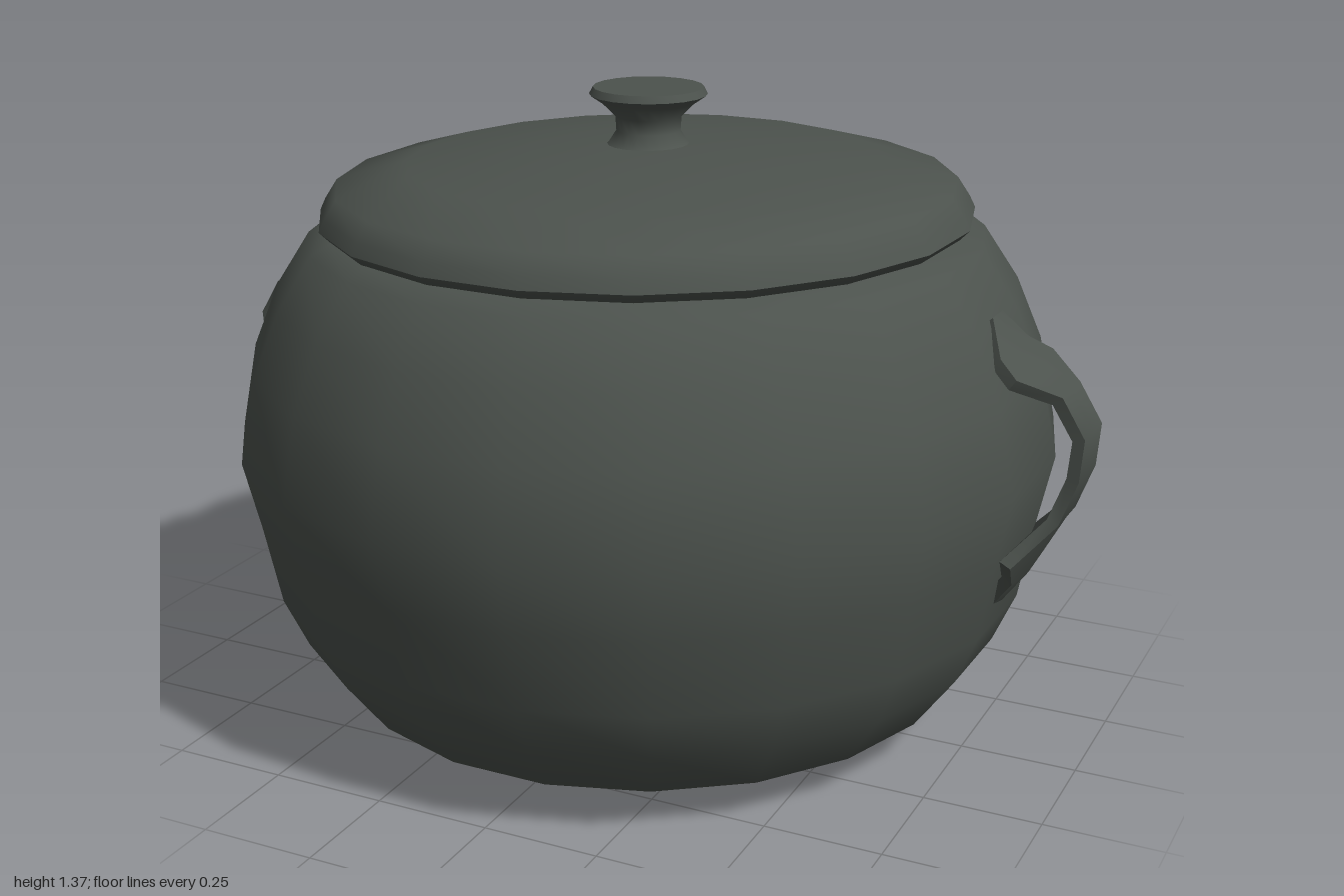
import * as THREE from 'three';
import { toCreasedNormals } from 'three/addons/utils/BufferGeometryUtils.js';

const SIDES = 20;
const START = THREE.MathUtils.degToRad(7.7);

// Turned part from [radius, height] pairs, listed from bottom to top
function turned(name, profile, material, crease = 0.85, start = START) {
  const points = profile.map(([r, y]) => new THREE.Vector2(r, y));
  const geometry = new THREE.LatheGeometry(points, SIDES, start);
  const mesh = new THREE.Mesh(toCreasedNormals(geometry, crease), material);
  mesh.name = name;
  return mesh;
}

// Strap handle lofted through sections: [x, y, half width, edge set-back]
function strapGeometry() {
  const sections = [
    [0.775, 0.975, 0.03, 0.0],
    [0.835, 0.91, 0.09, 0.02],
    [0.88, 0.88, 0.12, 0.02],
    [0.935, 0.84, 0.06, 0],
    [0.982, 0.765, 0.06, 0],
    [0.975, 0.68, 0.06, 0],
    [0.94, 0.585, 0.06, 0],
    [0.895, 0.5, 0.12, 0.03],
    [0.868, 0.45, 0.08, 0.01],
    [0.81, 0.37, 0.06, 0.01],
  ];
  const half = 0.013;
  const positions = [];
  const index = [];
  sections.forEach(([x, y, w, back], i) => {
    // The thickness runs across the path direction
    const a = sections[Math.max(i - 1, 0)];
    const b = sections[Math.min(i + 1, sections.length - 1)];
    const n = new THREE.Vector2(a[1] - b[1], b[0] - a[0]).normalize().multiplyScalar(half);
    for (const [side, z] of [[1, -1], [1, 0], [1, 1], [-1, 1], [-1, 0], [-1, -1]]) {
      positions.push(x + side * n.x - back * Math.abs(z), y + side * n.y, z * w);
    }
  });
  for (let i = 0; i < sections.length - 1; i++) {
    for (let j = 0; j < 6; j++) {
      const p = i * 6 + j;
      const q = i * 6 + ((j + 1) % 6);
      index.push(p, q, p + 6, q, q + 6, p + 6);
    }
  }
  const geometry = new THREE.BufferGeometry();
  geometry.setAttribute('position', new THREE.Float32BufferAttribute(positions, 3));
  geometry.setIndex(index);
  // Reverse the winding if the outer face points inward
  geometry.computeVertexNormals();
  if (geometry.attributes.normal.getX(4 * 6 + 1) < 0) {
    geometry.setIndex(index.map((_, k) => index[k - (k % 3) + 2 - (k % 3)]));
  }
  return toCreasedNormals(geometry, 0.7);
}

export function createModel() {
  const model = new THREE.Group();
  model.name = 'lidded pot';
  const iron = new THREE.MeshStandardMaterial({ color: 0x4c524d });
  iron.name = 'dark iron';

  // Pot and lid lean very slightly
  const vessel = new THREE.Group();
  vessel.name = 'vessel';
  vessel.rotation.z = 0.012;
  vessel.position.x = 0.008;
  model.add(vessel);

  vessel.add(turned('body', [
    [0, 0.005], [0.3, 0.012], [0.56, 0.03], [0.685, 0.09], [0.775, 0.21],
    [0.825, 0.32], [0.858, 0.49], [0.892, 0.64], [0.856, 0.82],
    [0.8, 0.955], [0.725, 1.07], [0.68, 1.095], [0.64, 1.1],
  ], iron));

  vessel.add(turned('lid', [
    [0.62, 1.09], [0.68, 1.095], [0.7, 1.115], [0.688, 1.14], [0.662, 1.18],
    [0.51, 1.222], [0.25, 1.247], [0, 1.262],
  ], iron, 0.85, START - 0.03));

  // Flared knob with a flat top
  model.add(turned('lidKnob', [
    [0.11, 1.24], [0.085, 1.258], [0.068, 1.285], [0.07, 1.315],
    [0.1, 1.345], [0.125, 1.362], [0.117, 1.377], [0, 1.377],
  ], iron));

  // Matching handles on the two sides
  const strap = strapGeometry();
  for (const [name, turn] of [['leftHandle', 0], ['rightHandle', Math.PI]]) {
    const handle = new THREE.Mesh(strap, iron);
    handle.name = name;
    handle.rotation.y = turn - 0.022;
    model.add(handle);
  }
  return model;
}
